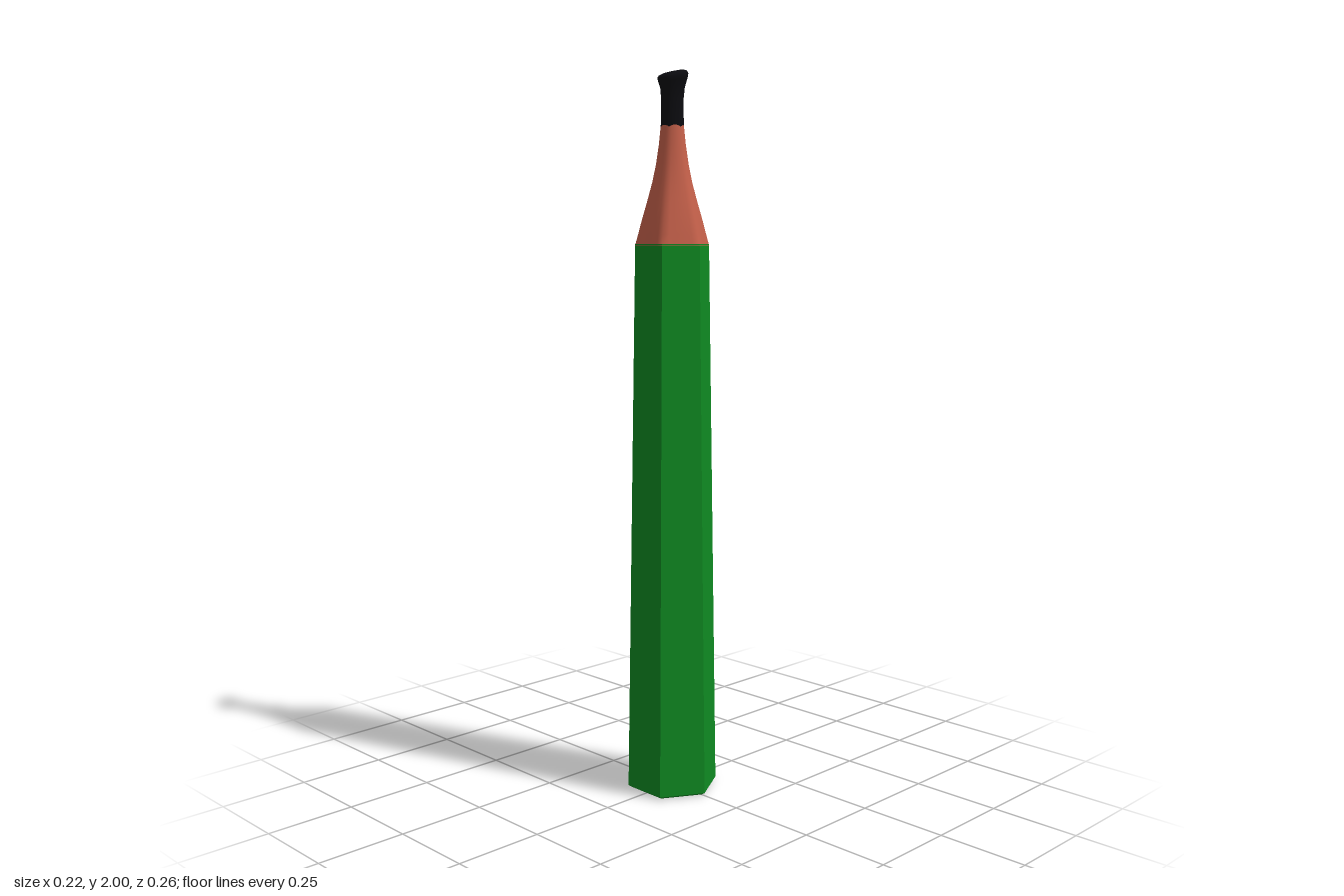
import * as THREE from 'three';

const SIDES = 36;

const material = (color, flatShading = false) =>
  new THREE.MeshStandardMaterial({ color, flatShading });

// Radius of a hexagon (corners on the z axis) blended towards a circle
function outline(angle, radius, roundness) {
  const sector = Math.PI / 3;
  const hex = radius * Math.cos(sector / 2) / Math.cos((angle % sector) - sector / 2);
  return THREE.MathUtils.lerp(hex, radius, roundness);
}

// Skin through rings of { y, r, round, tilt, dx }; tilt raises the +x side
function loft(rings, capTop = false) {
  const positions = [];
  const indices = [];
  rings.forEach(({ y, r, round = 1, tilt = 0, dx = 0 }) => {
    for (let i = 0; i < SIDES; i++) {
      const a = (i / SIDES) * Math.PI * 2;
      const d = outline(a, r, round);
      positions.push(Math.sin(a) * d + dx, y + tilt * Math.sin(a), Math.cos(a) * d);
    }
  });
  for (let k = 0; k < rings.length - 1; k++) {
    for (let i = 0; i < SIDES; i++) {
      const j = (i + 1) % SIDES;
      const a = k * SIDES + i, b = k * SIDES + j;
      indices.push(a, b, b + SIDES, a, b + SIDES, a + SIDES);
    }
  }
  if (capTop) {
    const last = rings[rings.length - 1];
    const start = (rings.length - 1) * SIDES;
    positions.push(last.dx || 0, last.y + 0.002, 0);
    for (let i = 0; i < SIDES; i++) indices.push(start + i, start + (i + 1) % SIDES, rings.length * SIDES);
  }
  const geometry = new THREE.BufferGeometry();
  geometry.setAttribute('position', new THREE.Float32BufferAttribute(positions, 3));
  geometry.setIndex(indices);
  geometry.computeVertexNormals();
  return geometry;
}

export function createModel() {
  const group = new THREE.Group();
  const green = material(0x0f8a22, true);
  const wood = material(0xc4604a);
  const graphite = material(0x0c0c10);

  const add = (name, geometry, mat, y = 0) => {
    const mesh = new THREE.Mesh(geometry, mat);
    mesh.name = name;
    mesh.position.y = y;
    group.add(mesh);
    return mesh;
  };

  // Tapered hexagonal painted body with a small bevel at the foot
  const bevel = 0.007, bodyTop = 1.535;
  const bodyHeight = bodyTop - bevel;
  add('body', new THREE.CylinderGeometry(0.104, 0.129, bodyHeight, 6, 1, true), green, bevel + bodyHeight / 2);
  add('footBevel', new THREE.CylinderGeometry(0.129, 0.118, bevel, 6, 1, true), green, bevel / 2);

  // Wooden end face with the core showing
  const end = add('endFace', new THREE.CircleGeometry(0.118, 6, Math.PI / 2), wood);
  const core = add('endCore', new THREE.CircleGeometry(0.045, 24), graphite, -0.0005);
  end.rotation.x = core.rotation.x = Math.PI / 2;

  // Sharpened wood: concave, hexagonal at the base and round at the tip
  add('sharpenedWood', loft([
    { y: 1.53, r: 0.1045, round: 0 },
    { y: 1.56, r: 0.096, round: 0.1 },
    { y: 1.60, r: 0.085, round: 0.25 },
    { y: 1.65, r: 0.070, round: 0.4 },
    { y: 1.70, r: 0.056, round: 0.55 },
    { y: 1.75, r: 0.045, round: 0.7 },
    { y: 1.80, r: 0.037, round: 0.85 },
    { y: 1.855, r: 0.031, round: 0.9 },
  ]), wood);

  // Flared lead with a slanted, softly rounded top
  add('lead', loft([
    { y: 1.845, r: 0.032, round: 0.8 },
    { y: 1.88, r: 0.031, round: 0.8 },
    { y: 1.92, r: 0.031, round: 0.7 },
    { y: 1.95, r: 0.034, round: 0.6, tilt: 0.003, dx: 0.001 },
    { y: 1.972, r: 0.041, round: 0.5, tilt: 0.007, dx: 0.002 },
    { y: 1.982, r: 0.043, round: 0.5, tilt: 0.008, dx: 0.002 },
    { y: 1.989, r: 0.039, round: 0.5, tilt: 0.009, dx: 0.002 },
    { y: 1.992, r: 0.030, round: 0.6, tilt: 0.008, dx: 0.002 },
  ], true), graphite);

  return group;
}
